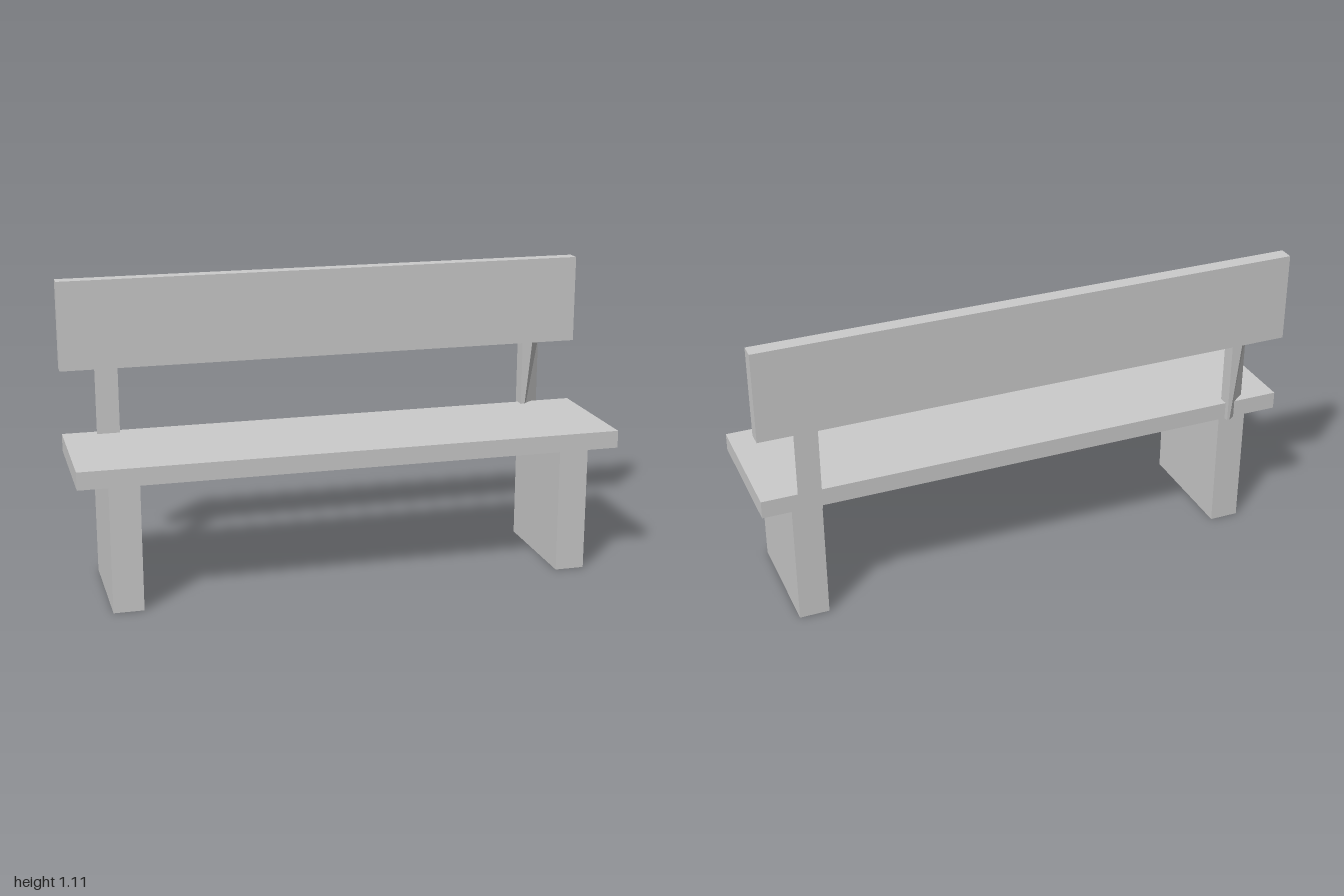
import * as THREE from 'three';

export function createModel() {
  const bench = new THREE.Group();
  bench.name = 'bench';
  const grey = new THREE.MeshStandardMaterial({ color: 0xcccccc });
  grey.name = 'grey';

  // Box given by its limits on each axis
  function block(name, [x0, x1], [y0, y1], [z0, z1]) {
    const mesh = new THREE.Mesh(new THREE.BoxGeometry(x1 - x0, y1 - y0, z1 - z0), grey);
    mesh.position.set((x0 + x1) / 2, (y0 + y1) / 2, (z0 + z1) / 2);
    mesh.name = name;
    bench.add(mesh);
  }

  block('seat', [-1, 1], [0.47, 0.535], [-0.235, 0.255]);
  block('backrest', [-1, 1], [0.78, 1.11], [-0.255, -0.2]);
  block('leftLeg', [0.78, 0.89], [0, 0.47], [-0.21, 0.235]);
  block('rightLeg', [-0.89, -0.78], [0, 0.47], [-0.21, 0.235]);

  // Wedge-shaped post: one long corner of a box is cut back, more so at the foot
  const box = new THREE.BoxGeometry(0.085, 0.31, 0.055);
  const p = box.attributes.position;
  for (let i = 0; i < p.count; i++) {
    if (p.getX(i) > 0 && p.getZ(i) > 0) p.setX(i, p.getY(i) > 0 ? -0.003 : -0.033);
  }
  const wedge = box.toNonIndexed();
  wedge.computeVertexNormals();

  // The second post is the first turned half round
  for (const side of [1, -1]) {
    const post = new THREE.Mesh(wedge, grey);
    post.name = side > 0 ? 'leftPost' : 'rightPost';
    post.position.set(side * 0.8325, 0.625, -0.2275);
    post.rotation.y = side > 0 ? 0 : Math.PI;
    bench.add(post);
  }
  return bench;
}
